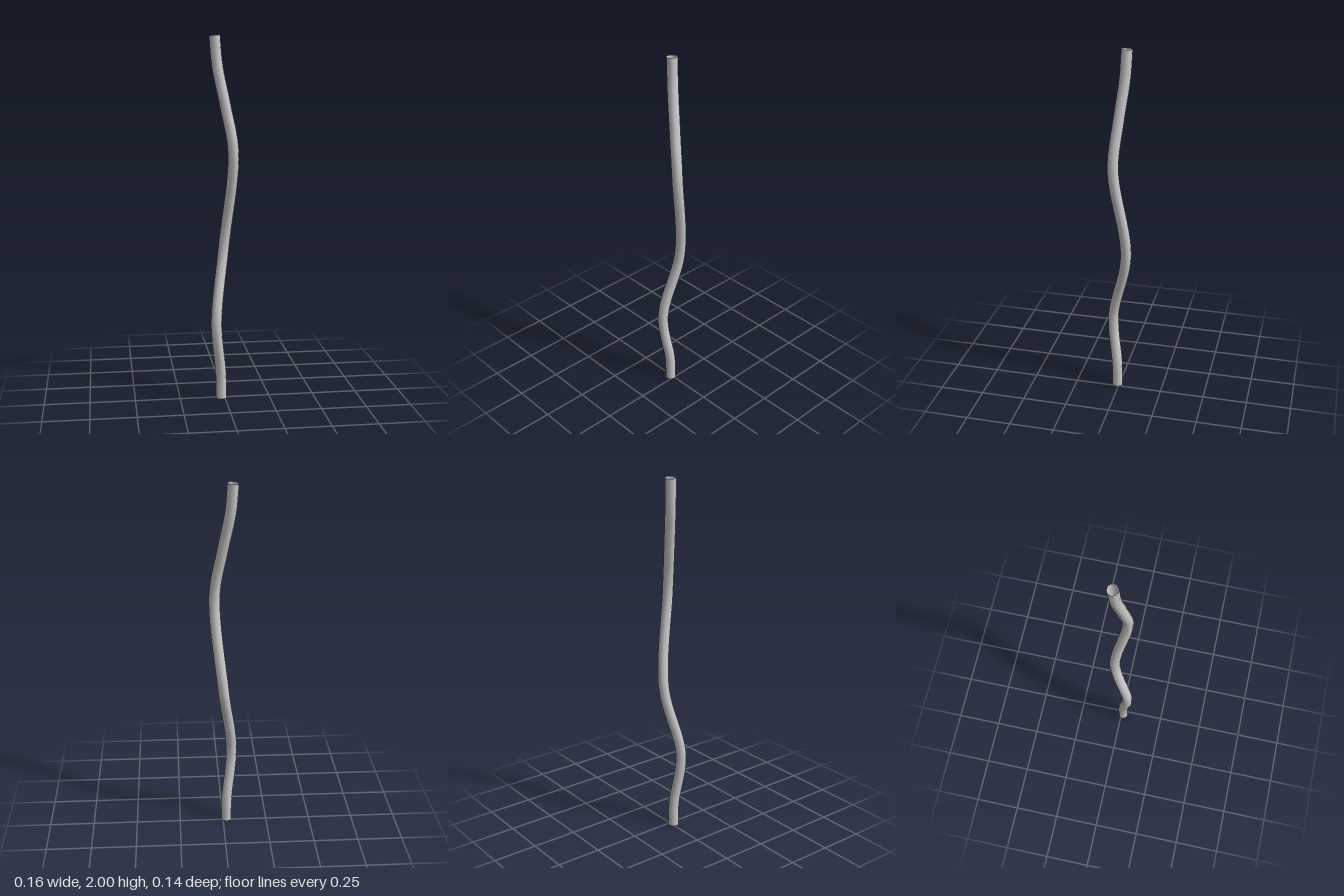
import * as THREE from 'three';

export function createModel() {
  const group = new THREE.Group();
  group.name = 'wavyStem';

  // Centre line, from the foot to the tip
  const path = new THREE.CatmullRomCurve3([
    [-0.02, 0, 0.01],
    [-0.022, 0.14, 0.012],
    [-0.05, 0.44, 0.04],
    [0, 0.85, -0.042],
    [0.045, 1.37, 0.02],
    [0.005, 1.62, 0],
    [-0.037, 1.84, -0.025],
    [-0.05, 1.996, -0.033],
  ].map((p) => new THREE.Vector3(...p)));

  // Open-ended hollow tube
  const stem = new THREE.Mesh(
    new THREE.TubeGeometry(path, 64, 0.03, 10, false),
    new THREE.MeshStandardMaterial({ color: 0xcccccc, side: THREE.DoubleSide }),
  );
  stem.name = 'stem';
  group.add(stem);
  return group;
}
